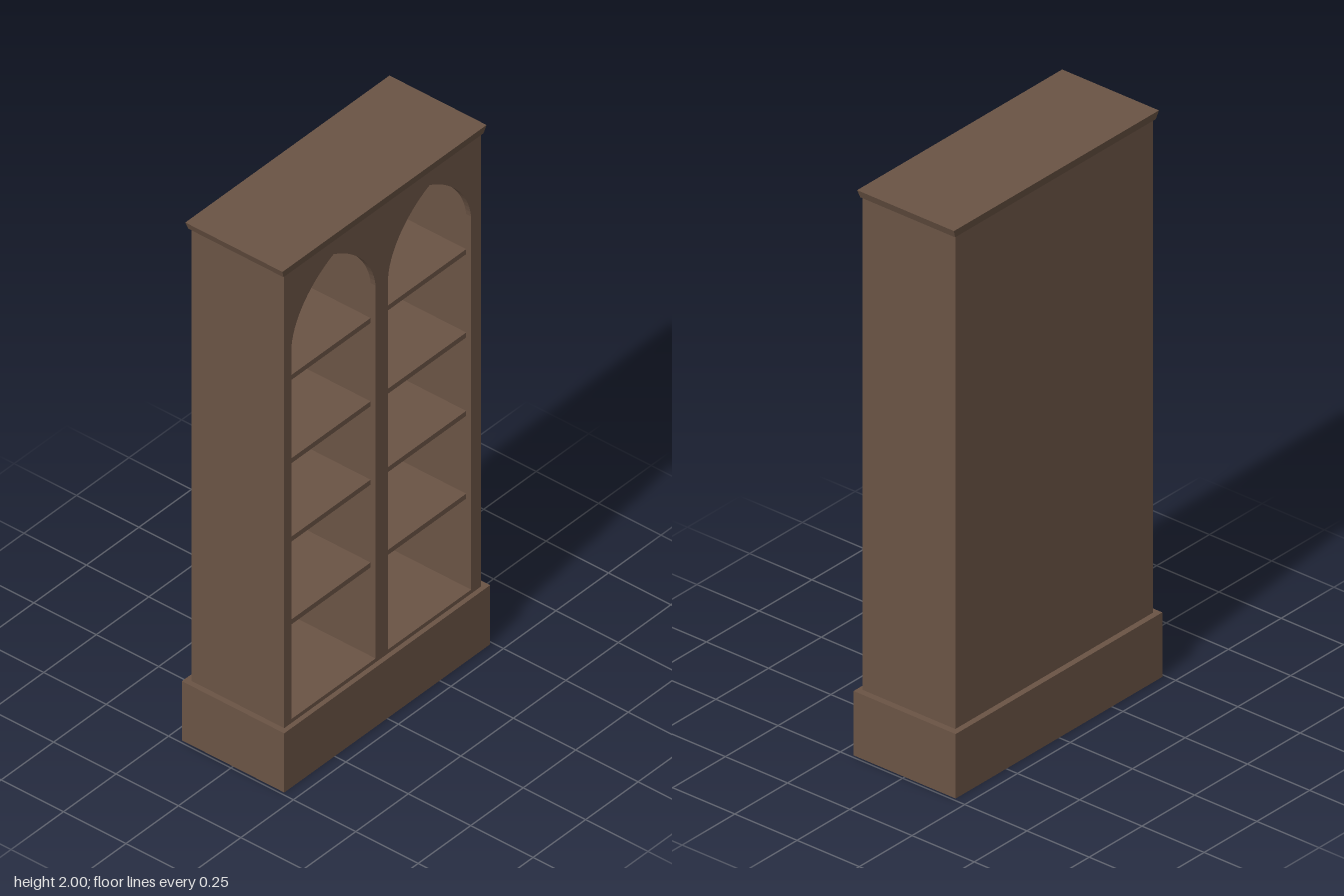
import * as THREE from 'three';

const wood = new THREE.MeshStandardMaterial({ color: 0x6b5445 });
wood.name = 'walnut';

export function createModel() {
  const model = new THREE.Group();
  model.name = 'bookcase';

  const add = (name, geometry) => {
    const mesh = new THREE.Mesh(geometry, wood);
    mesh.name = name;
    model.add(mesh);
    return mesh;
  };
  // Box given by its lower and upper limits on each axis
  const box = (name, x0, x1, y0, y1, z0, z1) => {
    const mesh = add(name, new THREE.BoxGeometry(x1 - x0, y1 - y0, z1 - z0));
    mesh.position.set((x0 + x1) / 2, (y0 + y1) / 2, (z0 + z1) / 2);
    return mesh;
  };

  const left = -0.47, right = 0.467, back = -0.184, front = 0.188;
  const floorY = 0.243, plinthY = 0.228, topY = 1.976;
  const frameBack = front - 0.02, panelFront = back + 0.015;
  const bays = [[-0.435, -0.035], [0.025, 0.42]];

  // Plinth
  box('plinth', -0.49, 0.49, 0, plinthY, -0.205, 0.205);

  // Cornice, flared towards the top
  const cornice = box('cornice', -0.488, 0.484, topY - 0.004, 2, -0.193, 0.196);
  const p = cornice.geometry.attributes.position;
  for (let i = 0; i < p.count; i++) {
    if (p.getY(i) < 0) {
      p.setX(i, p.getX(i) - Math.sign(p.getX(i)) * 0.01);
      p.setZ(i, p.getZ(i) - Math.sign(p.getZ(i)) * 0.004);
    }
  }
  cornice.geometry.computeVertexNormals();

  // Carcass panels
  box('rightSide', left, bays[0][0], plinthY, topY, back, frameBack);
  box('leftSide', bays[1][1], right, plinthY, topY, back, frameBack);
  box('divider', bays[0][1], bays[1][0], plinthY, topY, panelFront, frameBack);
  box('backPanel', bays[0][0], bays[1][1], plinthY, topY, back, panelFront);

  // Front frame with two pointed-arch openings
  const frame = new THREE.Shape();
  frame.moveTo(left, plinthY);
  frame.lineTo(right, plinthY);
  frame.lineTo(right, topY);
  frame.lineTo(left, topY);
  frame.closePath();
  for (const [x0, x1] of bays) {
    const mid = (x0 + x1) / 2;
    const arch = new THREE.Path();
    arch.moveTo(x0, floorY);
    arch.lineTo(x0, 1.68);
    arch.bezierCurveTo(x0 + 0.01, 1.775, x0 + 0.09, 1.87, mid, 1.917);
    arch.bezierCurveTo(x1 - 0.09, 1.87, x1 - 0.01, 1.775, x1, 1.68);
    arch.lineTo(x1, floorY);
    arch.closePath();
    frame.holes.push(arch);
  }
  const frameGeometry = new THREE.ExtrudeGeometry(frame, {
    depth: front - frameBack, bevelEnabled: false, curveSegments: 14,
  });
  add('archedFrame', frameGeometry).position.z = frameBack;

  // Floor, shelves and ceiling of each bay
  for (const [x0, x1] of bays) {
    box('bayFloor', x0, x1, plinthY, floorY, panelFront, frameBack);
    box('bayCeiling', x0, x1, topY - 0.02, topY, panelFront, frameBack);
    for (const y of [0.603, 0.922, 1.224, 1.545]) {
      box('shelf', x0, x1, y - 0.019, y, panelFront, frameBack);
    }
  }
  return model;
}
